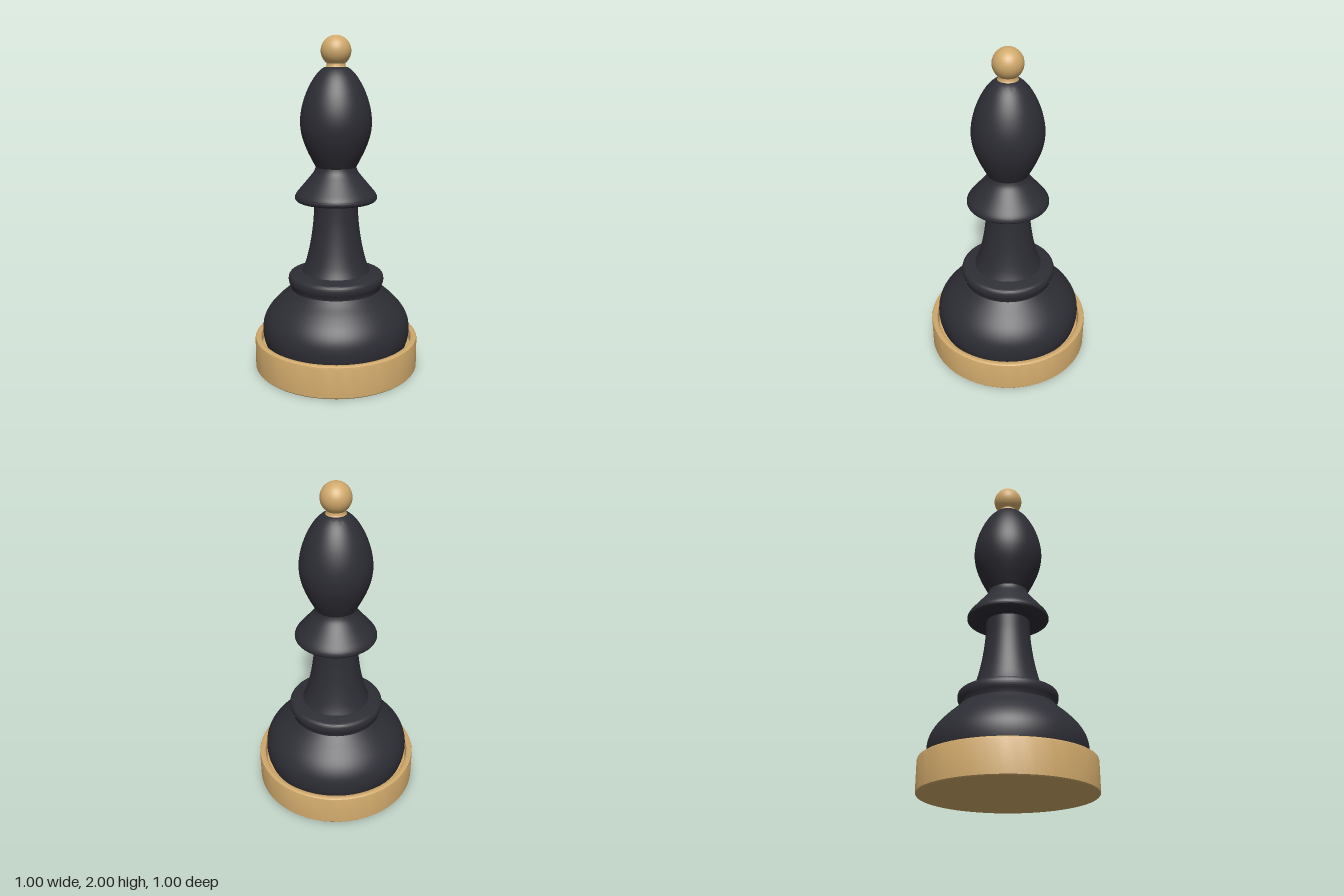
import * as THREE from 'three';
import { toCreasedNormals } from 'three/addons/utils/BufferGeometryUtils.js';

const vectors = (points) => points.map(([r, y]) => new THREE.Vector2(r, y));

// Smooth profile through a few [radius, height] points
const smooth = (points, steps) => new THREE.SplineCurve(vectors(points)).getPoints(steps);

function turned(name, profile, material) {
  const geometry = toCreasedNormals(new THREE.LatheGeometry(profile, 64), 0.6);
  const mesh = new THREE.Mesh(geometry, material);
  mesh.name = name;
  return mesh;
}

export function createModel() {
  const dark = new THREE.MeshStandardMaterial({ color: 0x2d2d35 });
  dark.name = 'charcoal';
  const gold = new THREE.MeshStandardMaterial({ color: 0xd0a96b });
  gold.name = 'gold';

  const group = new THREE.Group();
  group.name = 'chessBishop';

  // Gold foot: a shallow dish with a rounded rim
  group.add(turned('foot', vectors([
    [0, 0], [0.495, 0], [0.5, 0.006], [0.5, 0.18], [0.497, 0.19], [0.488, 0.196],
    [0.472, 0.196], [0.464, 0.192], [0.46, 0.184], [0.455, 0.15], [0, 0.15],
  ]), gold));

  // Bulging lower body
  group.add(turned('lowerBody', smooth([
    [0.435, 0.15], [0.448, 0.2], [0.45, 0.26], [0.437, 0.315], [0.405, 0.37],
    [0.355, 0.425], [0.305, 0.47], [0.275, 0.5],
  ], 32), dark));

  // Rounded collar above the body
  group.add(turned('lowerCollar', smooth([
    [0.272, 0.49], [0.278, 0.515], [0.288, 0.54], [0.289, 0.565], [0.279, 0.585],
    [0.25, 0.594], [0.2, 0.605],
  ], 28), dark));

  // Tapering stem
  group.add(turned('stem', smooth([
    [0.215, 0.585], [0.187, 0.65], [0.163, 0.74], [0.145, 0.84], [0.134, 0.94], [0.13, 1.05],
  ], 24), dark));

  // Flared upper collar with a flat underside
  group.add(turned('upperCollar', [
    new THREE.Vector2(0.12, 1.038),
    ...smooth([
      [0.2, 1.035], [0.232, 1.04], [0.245, 1.056], [0.237, 1.082], [0.205, 1.122],
      [0.165, 1.17], [0.13, 1.215], [0.118, 1.25],
    ], 30),
  ], dark));

  // Egg-shaped head
  group.add(turned('head', smooth([
    [0.118, 1.24], [0.135, 1.27], [0.172, 1.345], [0.2, 1.425], [0.21, 1.505],
    [0.2, 1.59], [0.171, 1.68], [0.128, 1.76], [0.085, 1.808], [0.05, 1.824], [0, 1.828],
  ], 44), dark));

  // Gold finial: flared neck and ball
  group.add(turned('finialNeck', smooth([
    [0.066, 1.812], [0.056, 1.827], [0.053, 1.842], [0.058, 1.856],
  ], 10), gold));
  const ball = new THREE.Mesh(new THREE.SphereGeometry(0.088, 40, 24), gold);
  ball.name = 'finialBall';
  ball.position.y = 1.912;
  group.add(ball);

  return group;
}
